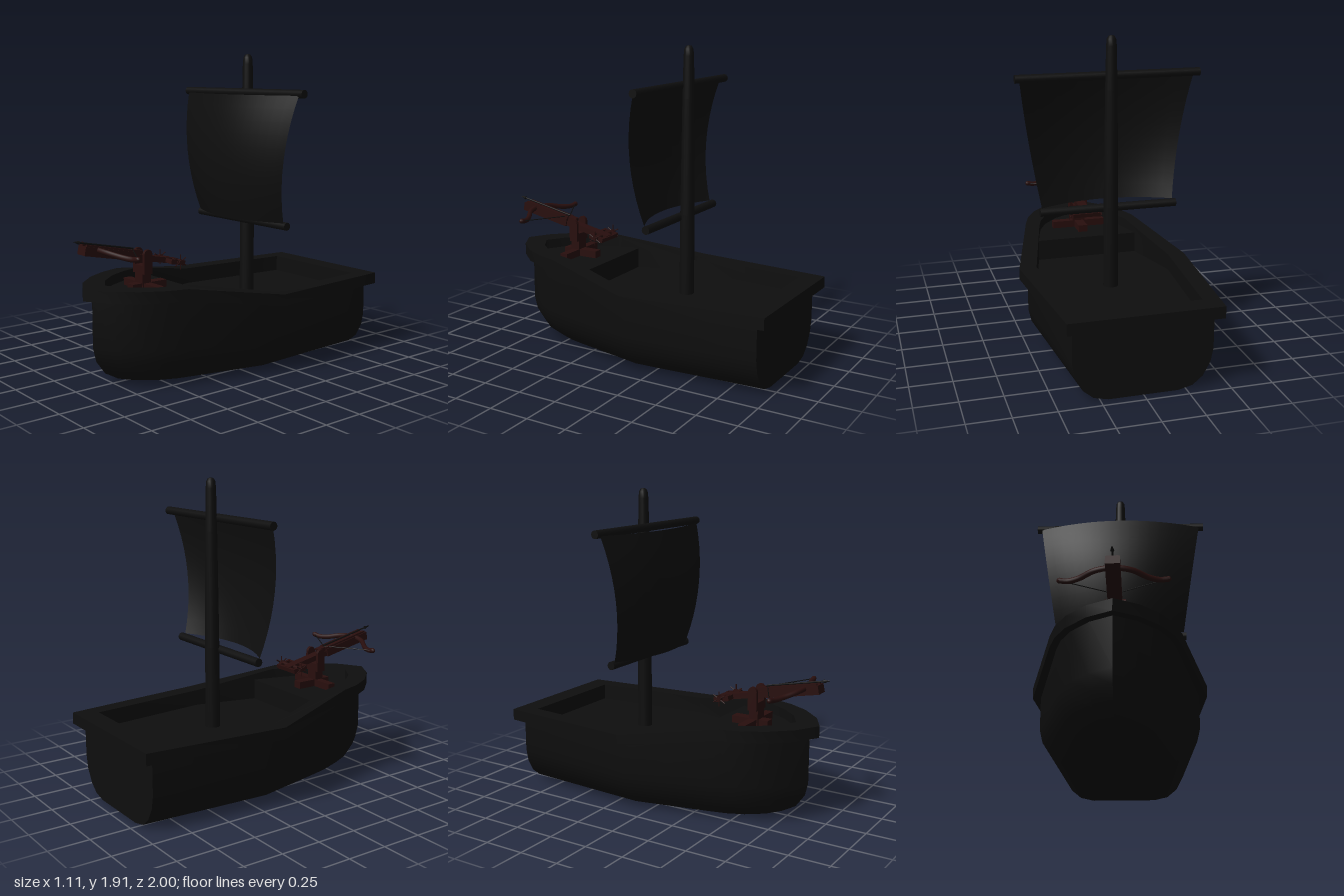
import * as THREE from 'three';
import { toCreasedNormals } from 'three/addons/utils/BufferGeometryUtils.js';

const dark = new THREE.MeshStandardMaterial({ color: 0x0e0e0e, side: THREE.DoubleSide });
dark.name = 'blackened wood';
const red = new THREE.MeshStandardMaterial({ color: 0x280e0d });
red.name = 'dark red wood';

// Half outline of the gunwale, stern to bow, as [x, z]
const HALF = [[0.45, -1], [0.53, -0.12], [0.37, 0.47], [0.33, 0.6], [0.26, 0.73], [0.14, 0.86], [0, 0.94]];
const sheer = (z) => 0.09 * THREE.MathUtils.clamp((z + 0.12) / 0.59, 0, 1);

function mesh(parent, name, geometry, material, x = 0, y = 0, z = 0) {
  const m = new THREE.Mesh(geometry, material);
  m.name = name;
  m.position.set(x, y, z);
  parent.add(m);
  return m;
}
const box = (p, name, mat, w, h, d, x, y, z) => mesh(p, name, new THREE.BoxGeometry(w, h, d), mat, x, y, z);

function rod(p, name, mat, r, length, x, y, z, axis = 'x', sides = 12) {
  const g = new THREE.CylinderGeometry(r, r, length, sides);
  if (axis === 'x') g.rotateZ(Math.PI / 2);
  if (axis === 'z') g.rotateX(Math.PI / 2);
  return mesh(p, name, g, mat, x, y, z);
}

// Outline scaled in from the gunwale, with its own stern position
function outline(sx, sz, stern) {
  const half = HALF.map(([x, z]) => [x * sx, z < -0.5 ? stern : -0.12 + (z + 0.12) * sz, sheer(z)]);
  return [...half, ...half.slice(0, -1).reverse().map(([x, z, s]) => [-x, z, s])];
}
const ring = (sx, sz, stern, y, follow) => outline(sx, sz, stern).map(([x, z, s]) => [x, y + s * follow, z]);

// Skin between closed rings
function loft(rings, crease) {
  const n = rings[0].length, index = [];
  for (let j = 0; j < rings.length - 1; j++) {
    for (let i = 0; i < n; i++) {
      const a = j * n + i, b = j * n + (i + 1) % n;
      index.push(a, a + n, b + n, a, b + n, b);
    }
  }
  const g = new THREE.BufferGeometry();
  g.setAttribute('position', new THREE.Float32BufferAttribute(rings.flat(2), 3));
  g.setIndex(index);
  return toCreasedNormals(g, crease);
}
const flat = (pts) => new THREE.ShapeGeometry(new THREE.Shape(pts.map(([x, z]) => new THREE.Vector2(x, z)))).rotateX(Math.PI / 2);

function buildHull(root) {
  const hull = new THREE.Group();
  hull.name = 'hull';
  root.add(hull);

  // Rounded bilge: [x scale, z scale, height]
  const bilge = [[0.45, 0.69, 0], [0.64, 0.785, 0.02], [0.774, 0.87, 0.07], [0.87, 0.925, 0.15], [0.906, 0.943, 0.23]];
  const rings = bilge.map(([sx, sz, y]) => ring(sx, sz, -0.94, y, 0));
  rings.push(ring(0.906, 0.943, -0.94, 0.43, 1));
  mesh(hull, 'hullSides', loft(rings, 0.5), dark);
  mesh(hull, 'hullBottom', flat(outline(0.45, 0.69, -0.94)), dark);

  // Gunwale with inner bulwark
  mesh(hull, 'gunwale', loft([
    ring(0.906, 0.943, -0.94, 0.43, 1), ring(1, 1, -1, 0.43, 1), ring(1, 1, -1, 0.5, 1),
    ring(0.8, 0.86, -0.87, 0.5, 1), ring(0.8, 0.86, -0.87, 0.4, 0),
  ], 0.4), dark);
  const inner = outline(0.8, 0.86, -0.87);
  mesh(hull, 'mainDeck', flat(inner), dark, 0, 0.4, 0);

  // Raised foredeck
  const front = [[0.325, 0.27], ...inner.filter((p) => p[1] > 0.27), [-0.325, 0.27]];
  const shape = new THREE.Shape(front.map(([x, z]) => new THREE.Vector2(x, z)));
  const fore = new THREE.ExtrudeGeometry(shape, { depth: 0.13, bevelEnabled: false }).rotateX(Math.PI / 2);
  mesh(hull, 'foredeck', fore, dark, 0, 0.53, 0);
}

function buildRig(root) {
  const rig = new THREE.Group();
  rig.name = 'rig';
  root.add(rig);
  const profile = [[0.045, 0.4], [0.044, 0.9], [0.036, 1.6], [0.031, 1.85], [0.027, 1.89], [0.017, 1.907], [0, 1.912]];
  mesh(rig, 'mast', new THREE.LatheGeometry(profile.map(([r, y]) => new THREE.Vector2(r, y)), 16), dark, 0, 0, -0.278);
  rod(rig, 'upperYard', dark, 0.025, 1.11, 0, 1.675, -0.235);
  rod(rig, 'lowerYard', dark, 0.025, 0.84, 0, 0.88, -0.235);

  // Sail billowing forward in both directions
  const g = new THREE.PlaneGeometry(2, 1, 16, 10);
  const pos = g.attributes.position;
  for (let i = 0; i < pos.count; i++) {
    const u = pos.getX(i), v = pos.getY(i) + 0.5;
    const billow = 1 - (2 * v - 1) ** 2;
    pos.setXYZ(i, u * (0.405 + 0.12 * v), 0.9 + 0.765 * v, -0.218 + 0.108 * (1 - u * u) + 0.06 * billow);
  }
  g.computeVertexNormals();
  mesh(rig, 'sail', g, dark);
}

function buildCrossbow(root) {
  const mount = new THREE.Group();
  mount.name = 'crossbowMount';
  root.add(mount);
  box(mount, 'baseBar', red, 0.35, 0.045, 0.05, 0, 0.552, 0.525);
  box(mount, 'baseBeam', red, 0.06, 0.045, 0.24, 0, 0.552, 0.5);
  box(mount, 'post', red, 0.08, 0.15, 0.058, 0, 0.605, 0.53);
  for (const s of [-1, 1]) {
    box(mount, 'yokeCheek', red, 0.02, 0.12, 0.058, s * 0.05, 0.69, 0.53);
    rod(mount, 'yokeTop', red, 0.029, 0.02, s * 0.05, 0.748, 0.53);
  }
  box(mount, 'yokeSeat', red, 0.12, 0.03, 0.058, 0, 0.655, 0.53);

  // Tilted stock, pointing up and forward
  const bow = new THREE.Group();
  bow.name = 'crossbow';
  bow.position.set(0, 0.745, 0.615);
  bow.rotation.x = -0.205;
  root.add(bow);
  box(bow, 'foreStock', red, 0.08, 0.052, 0.35, 0, 0, 0.16);
  box(bow, 'rearStock', red, 0.06, 0.034, 0.33, 0, -0.005, -0.165);
  for (const s of [-1, 1]) box(bow, 'boltRail', red, 0.015, 0.014, 0.34, s * 0.025, 0.03, 0.155);
  box(bow, 'triggerBlock', red, 0.045, 0.035, 0.05, 0, 0.02, -0.04);

  // Loaded bolt
  rod(bow, 'boltShaft', dark, 0.005, 0.38, 0, 0.042, 0.18, 'z', 8);
  const tip = new THREE.ConeGeometry(0.011, 0.04, 8).rotateX(Math.PI / 2);
  mesh(bow, 'boltTip', tip, dark, 0, 0.042, 0.38);

  // Windlass frame, drum and crank spokes
  for (const s of [-1, 1]) {
    box(bow, 'windlassSide', red, 0.02, 0.03, 0.1, s * 0.08, -0.005, -0.287);
    box(bow, 'windlassEnd', red, 0.18, 0.026, 0.016, 0, -0.005, -0.287 + s * 0.043);
    rod(bow, 'crankHub', red, 0.016, 0.015, s * 0.1, 0, -0.29);
    for (let k = 0; k < 3; k++) {
      const spoke = rod(bow, 'crankSpoke', red, 0.004, 0.09, s * 0.105, 0, -0.29, 'y', 6);
      spoke.rotation.x = k * Math.PI / 3 + 0.2;
    }
  }
  rod(bow, 'windlassDrum', red, 0.012, 0.23, 0, 0, -0.29);

  // Recurved limbs and the drawn string
  const limb = [[0.295, 0.785, 0.763], [0.25, 0.778, 0.768], [0.19, 0.782, 0.79], [0.1, 0.802, 0.84], [0, 0.81, 0.855]];
  const v = ([x, y, z], s) => new THREE.Vector3(x * s, y, z);
  const curve = new THREE.CatmullRomCurve3([...limb.map((p) => v(p, -1)), ...limb.slice(0, -1).reverse().map((p) => v(p, 1))]);
  mesh(root, 'bowLimbs', new THREE.TubeGeometry(curve, 40, 0.016, 8), red);
  for (const s of [-1, 1]) {
    mesh(root, 'limbTip', new THREE.SphereGeometry(0.016, 8, 6), red, s * 0.295, 0.785, 0.763);
    const line = new THREE.LineCurve3(v(limb[0], s), new THREE.Vector3(0, 0.78, 0.6));
    mesh(root, 'bowString', new THREE.TubeGeometry(line, 1, 0.003, 6), dark);
  }
}

export function createModel() {
  const root = new THREE.Group();
  root.name = 'sailingBoat';
  buildHull(root);
  buildRig(root);
  buildCrossbow(root);
  return root;
}
